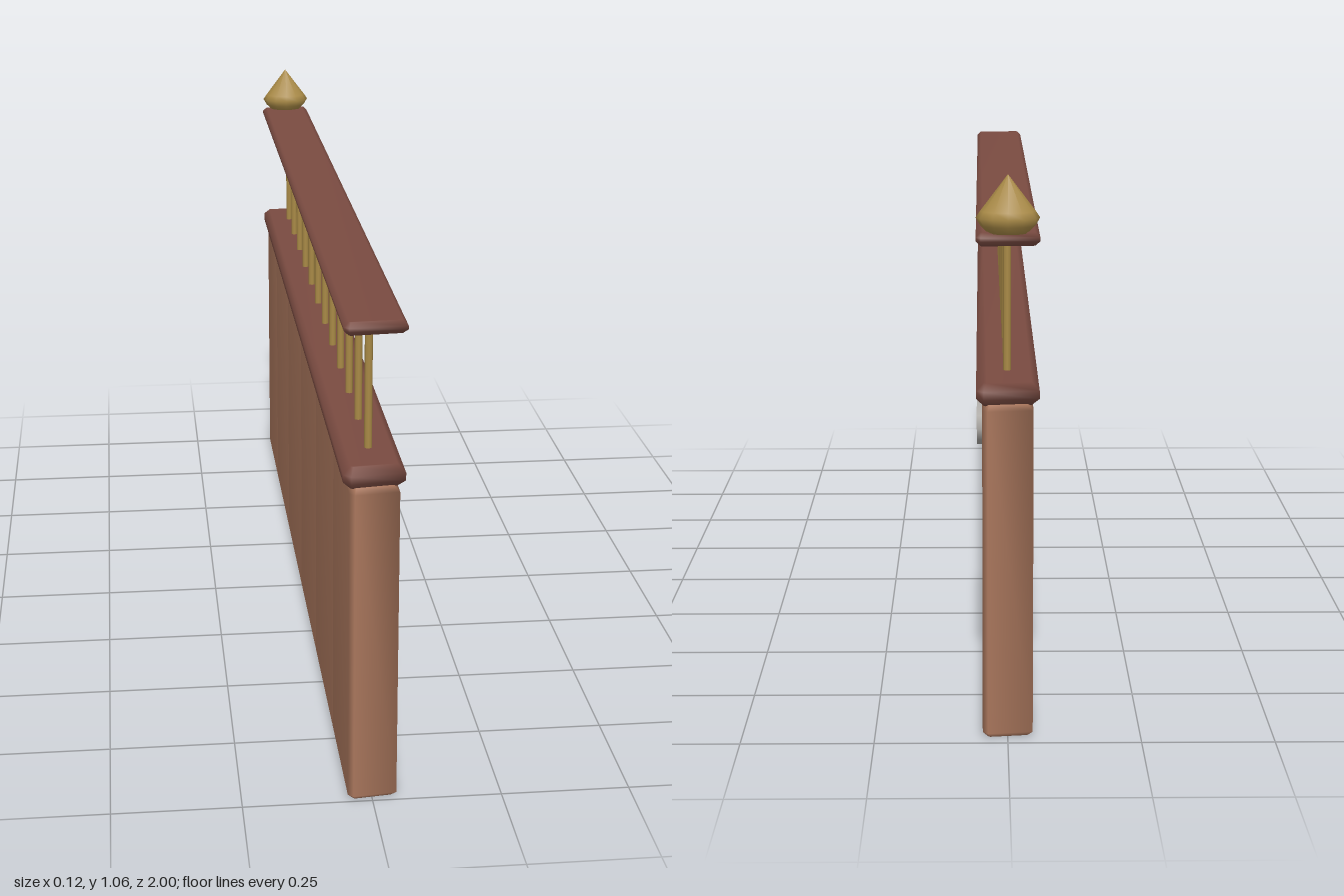
import * as THREE from 'three';
import { mergeVertices } from 'three/addons/utils/BufferGeometryUtils.js';

const HALF_LENGTH = 0.99;
const CENTRE_Z = 0.01;

const material = (name, color) => {
  const m = new THREE.MeshStandardMaterial({ color });
  m.name = name;
  return m;
};

// Bevelled slab lying along z, with optional V grooves on both long sides
function slab(halfX, y0, y1, bevel, grooves = []) {
  const right = [[halfX, -HALF_LENGTH + bevel]];
  for (const g of grooves) right.push([halfX, g - 0.006], [halfX - 0.007, g], [halfX, g + 0.006]);
  right.push([halfX, HALF_LENGTH - bevel], [halfX - bevel, HALF_LENGTH]);
  const left = right.map(([x, y]) => [-x, -y]);
  const shape = new THREE.Shape([...right, ...left].map(([x, y]) => new THREE.Vector2(x, y)));
  let geo = new THREE.ExtrudeGeometry(shape, {
    depth: y1 - y0 - 2 * bevel, bevelThickness: bevel, bevelSize: bevel, bevelOffset: -bevel, bevelSegments: 1,
  });
  geo.rotateX(-Math.PI / 2).translate(0, y0 + bevel, CENTRE_Z);
  // shared corners give soft, smooth edges
  geo.deleteAttribute('uv');
  geo.deleteAttribute('normal');
  geo = mergeVertices(geo, 1e-4);
  geo.computeVertexNormals();
  return geo;
}

export function createModel() {
  const model = new THREE.Group();
  model.name = 'railing';
  const wood = material('lightWood', 0xa9765c);
  const darkWood = material('darkWood', 0x7a4b41);
  const brass = material('brass', 0xa98a46);
  const silver = material('silver', 0xaaa7a3);

  const add = (name, geo, mat, parent = model) => {
    const mesh = new THREE.Mesh(geo, mat);
    mesh.name = name;
    parent.add(mesh);
    return mesh;
  };

  // Grooved panel and the two rails
  add('panel', slab(0.047, 0, 0.64, 0.01, [-0.7, -0.35, 0, 0.35, 0.7]), wood);
  add('lowerRail', slab(0.058, 0.637, 0.68, 0.014), darkWood);
  add('upperRail', slab(0.058, 0.932, 0.957, 0.009), darkWood);

  // Slim balusters
  const balusters = new THREE.Group();
  balusters.name = 'balusters';
  model.add(balusters);
  const rod = new THREE.CylinderGeometry(0.0075, 0.0075, 0.27, 8);
  for (let i = 0; i < 12; i++) {
    add('baluster', rod, brass, balusters).position.set(0, 0.806, 0.885 - i * 0.1573);
  }

  // Pointed finial at the back end
  const profile = [[0, 0.954], [0.036, 0.954], [0.05, 0.968], [0.058, 0.982], [0.05, 0.994], [0, 1.06]]
    .map(([r, y]) => new THREE.Vector2(r, y));
  const finial = add('finial', new THREE.LatheGeometry(profile, 12), brass);
  finial.scale.z = 0.8;
  finial.position.z = -0.954;

  // Oval plate on the left face
  const plate = new THREE.CylinderGeometry(1, 1, 0.014, 12).rotateZ(-Math.PI / 2).scale(1, 0.046, 0.097);
  add('ovalPlate', plate, silver).position.set(0.05, 0.58, -0.81);

  return model;
}
